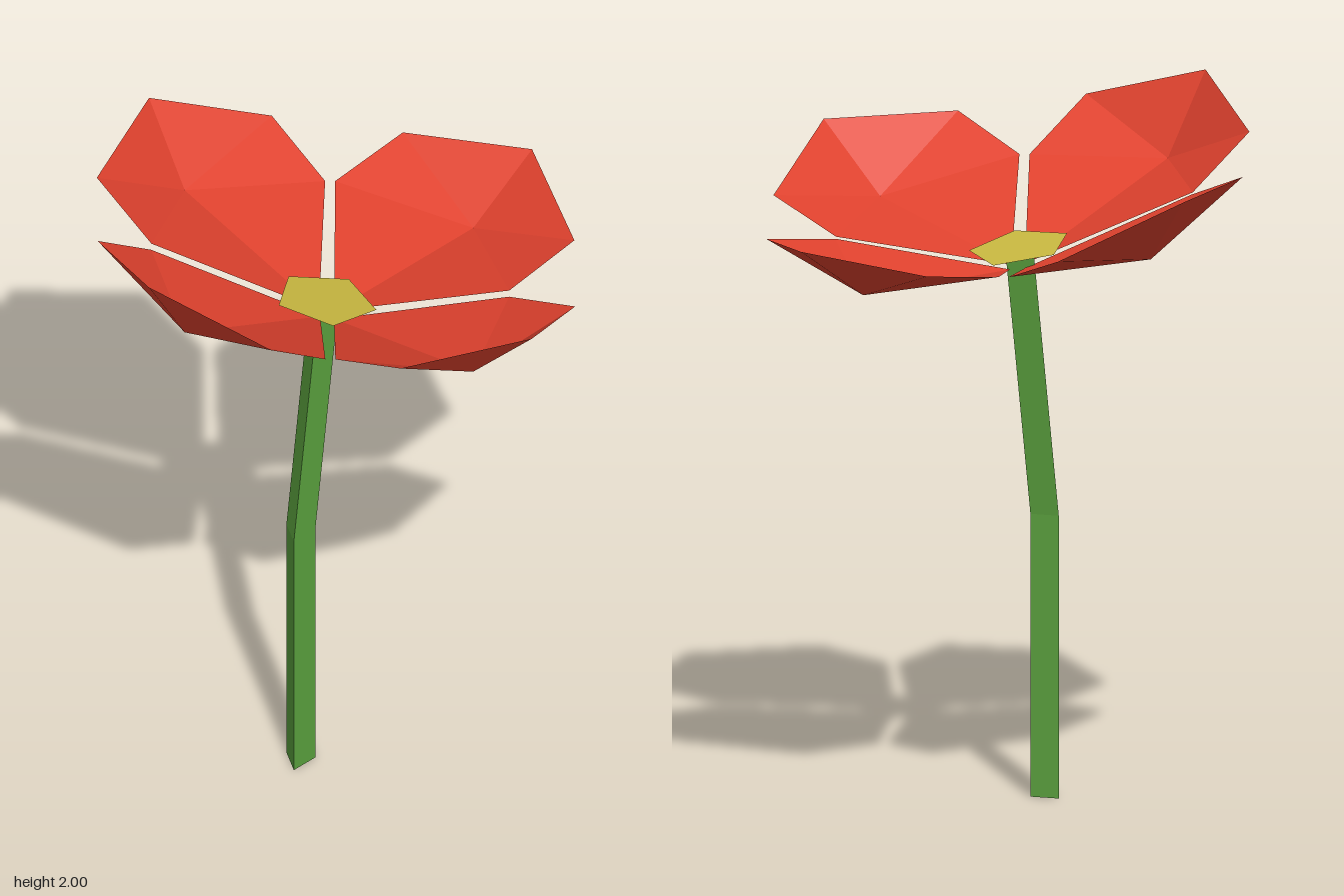
import * as THREE from 'three';

const red = new THREE.MeshStandardMaterial({ color: 0xe0422e, flatShading: true, side: THREE.DoubleSide });
const green = new THREE.MeshStandardMaterial({ color: 0x5aa03e, flatShading: true });
const yellow = new THREE.MeshStandardMaterial({ color: 0xc8b840, flatShading: true, side: THREE.DoubleSide });

// Mesh from a list of triangles, each three [x, y, z] points
function facets(name, triangles, material) {
  const geometry = new THREE.BufferGeometry();
  geometry.setAttribute('position', new THREE.Float32BufferAttribute(triangles.flat(2), 3));
  geometry.computeVertexNormals();
  const mesh = new THREE.Mesh(geometry, material);
  mesh.name = name;
  return mesh;
}

// Cupped petal: a fan of facets around the crease point where the tip bends up
function petal(name, crease, outline) {
  const triangles = outline.map((p, i) => [crease, p, outline[(i + 1) % outline.length]]);
  return facets(name, triangles, red);
}

// Three-sided stem with one bend, built from cross-sections [centre x, y]
function stem() {
  const rings = [[-0.158, 0], [-0.158, 0.81], [-0.065, 1.575]].map(([x, y]) => [
    [x - 0.042, y, 0.018], [x + 0.042, y, 0.018], [x, y, -0.055],
  ]);
  const triangles = [];
  for (let r = 0; r < 2; r++) {
    for (let i = 0; i < 3; i++) {
      const j = (i + 1) % 3;
      const [a, b, c, d] = [rings[r][i], rings[r][j], rings[r + 1][j], rings[r + 1][i]];
      triangles.push([a, b, c], [a, c, d]);
    }
  }
  triangles.push([...rings[0]].reverse(), rings[2]);
  return facets('stem', triangles, green);
}

export function createModel() {
  const group = new THREE.Group();
  group.name = 'flower';
  group.add(stem());

  // Side petals, symmetric in z: base, inner corner, outer corner, tip
  const sidePetal = (name, crease, base, inner, outer, tip) => {
    const flip = ([x, y, z]) => [x, y, -z];
    return petal(name, crease, [base, inner, outer, tip, flip(outer), flip(inner)]);
  };
  group.add(
    sidePetal('leftPetal', [0.52, 1.525, 0], [-0.025, 1.525, 0],
      [0.32, 1.605, 0.35], [0.58, 1.64, 0.345], [0.75, 1.68, 0]),
    sidePetal('rightPetal', [-0.61, 1.765, 0], [-0.08, 1.535, 0],
      [-0.4, 1.75, 0.35], [-0.61, 1.895, 0.35], [-0.75, 2, 0]),
  );

  // Front and back petals mirror each other
  for (const [name, s] of [['frontPetal', 1], ['backPetal', -1]]) {
    group.add(petal(name, [-0.045, 1.642, s * 0.58], [
      [-0.055, 1.53, s * 0.03], [0.3, 1.605, s * 0.37], [0.325, 1.69, s * 0.61],
      [0, 1.84, s * 0.77], [-0.36, 1.84, s * 0.61], [-0.38, 1.75, s * 0.37],
    ]));
  }

  // Flat five-sided centre, tilted with the flower head
  const centre = new THREE.Mesh(new THREE.CircleGeometry(0.147, 5, Math.PI / 2).rotateX(-Math.PI / 2), yellow);
  centre.name = 'flowerCentre';
  centre.rotation.z = -0.2;
  centre.position.set(-0.06, 1.585, 0);
  group.add(centre);
  return group;
}
